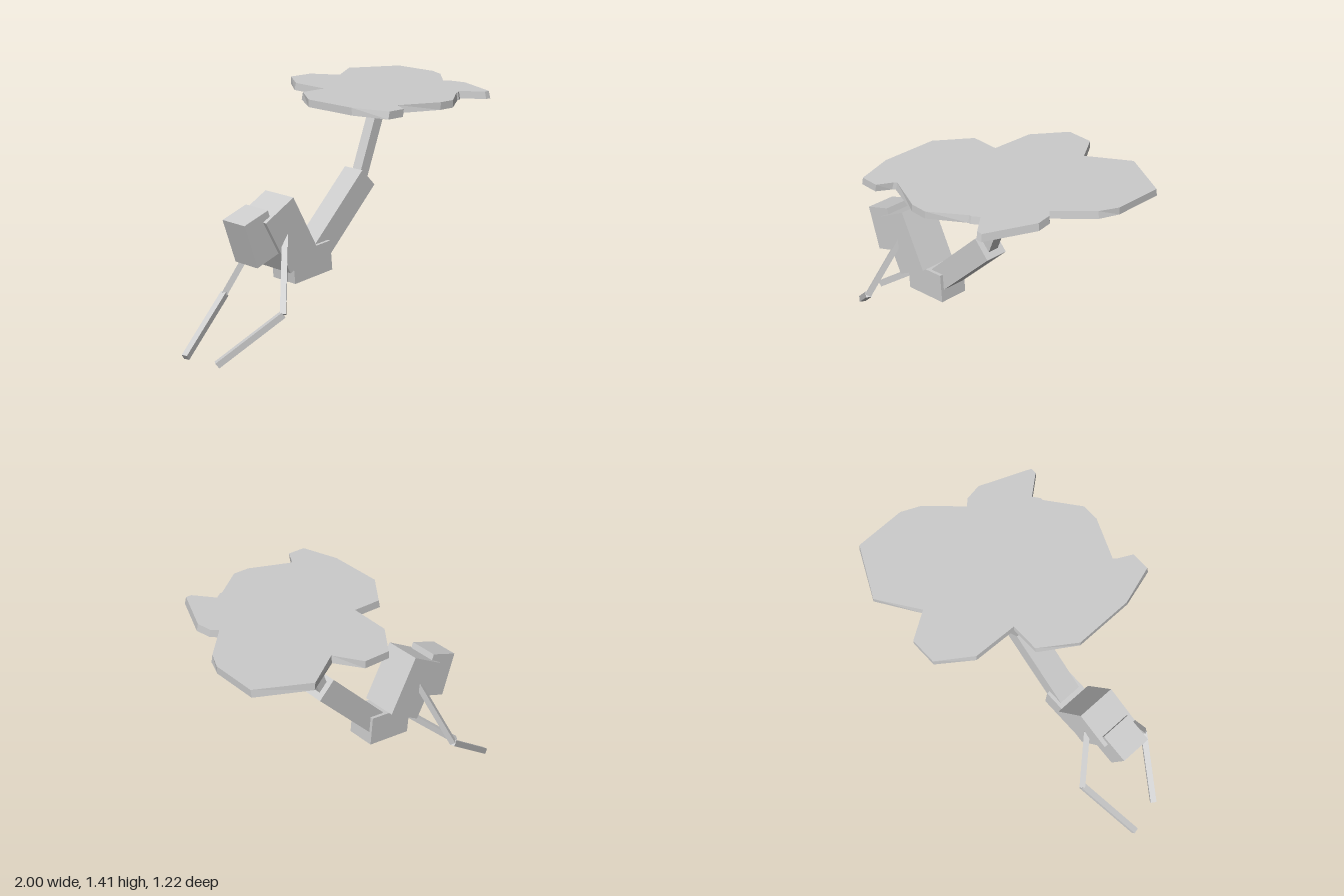
import * as THREE from 'three';

const material = new THREE.MeshStandardMaterial({ color: 0xcccccc, flatShading: true });

// Box centred at (x, y), tilted in the side plane
function block(name, x, y, width, height, depth, degrees) {
  const mesh = new THREE.Mesh(new THREE.BoxGeometry(width, height, depth), material);
  mesh.name = name;
  mesh.position.set(x, y, 0);
  mesh.rotation.z = THREE.MathUtils.degToRad(degrees);
  return mesh;
}

// Square bar running between two points
function bar(name, from, to, width) {
  const a = new THREE.Vector3(...from), b = new THREE.Vector3(...to);
  const mesh = new THREE.Mesh(new THREE.BoxGeometry(width, width, a.distanceTo(b)), material);
  mesh.name = name;
  mesh.position.copy(a).lerp(b, 0.5);
  mesh.lookAt(b);
  return mesh;
}

// Flat irregular canopy, slightly wider at its underside
function canopy() {
  const outline = [
    [-0.24, 0.04], [-0.1, -0.16], [0.07, -0.16], [0.08, -0.42], [0.215, -0.612], [0.375, -0.612],
    [0.475, -0.455], [0.705, -0.612], [1, -0.46], [1, -0.165], [0.95, -0.055], [0.775, 0.13],
    [0.81, 0.165], [0.825, 0.26], [0.705, 0.55], [0.67, 0.55], [0.575, 0.435], [0.535, 0.465],
    [0.52, 0.465], [0.335, 0.607], [0.235, 0.607], [0, 0.507], [-0.015, 0.52], [-0.06, 0.607],
    [-0.17, 0.607], [-0.24, 0.385],
  ];
  const shape = new THREE.Shape(outline.map(([x, z]) => new THREE.Vector2(x, -z)));
  const geometry = new THREE.ExtrudeGeometry(shape, { depth: 0.043, bevelEnabled: false });
  geometry.rotateX(-Math.PI / 2);
  const p = geometry.attributes.position;
  for (let i = 0; i < p.count; i++) {
    if (p.getY(i) > 0.02) continue;
    p.setX(i, THREE.MathUtils.clamp(0.38 + (p.getX(i) - 0.38) * 1.015, -0.24, 1));
    p.setZ(i, THREE.MathUtils.clamp(p.getZ(i) * 1.015, -0.612, 0.607));
  }
  geometry.computeVertexNormals();
  const mesh = new THREE.Mesh(geometry, material);
  mesh.name = 'canopy';
  mesh.position.y = 1.37;
  return mesh;
}

export function createModel() {
  const model = new THREE.Group();
  model.name = 'model';

  // Body blocks from head to tail
  model.add(
    block('head', -0.636, 0.687, 0.18, 0.272, 0.187, 19),
    block('torso', -0.44, 0.677, 0.232, 0.369, 0.236, 29),
    block('hips', -0.26, 0.481, 0.29, 0.178, 0.187, 5.3),
    block('tailBase', 0.017, 0.714, 0.143, 0.527, 0.146, -45),
    block('tailPost', 0.282, 1.12, 0.066, 0.56, 0.07, -20.6),
    canopy(),
  );

  // Two-part limbs, each with its own pose
  const limbs = [
    { side: 'left', shoulder: [-0.47, 0.69, 0.095], elbow: [-0.62, 0.285, 0.24], tip: [-0.935, 0.015, 0.042] },
    { side: 'right', shoulder: [-0.47, 0.69, -0.1], elbow: [-0.62, 0.29, -0.265], tip: [-0.99, 0.018, -0.168] },
  ];
  for (const { side, shoulder, elbow, tip } of limbs) {
    const limb = new THREE.Group();
    limb.name = `${side}Limb`;
    limb.add(bar('upperLimb', shoulder, elbow, 0.034), bar('lowerLimb', elbow, tip, 0.036));
    model.add(limb);
  }
  return model;
}
